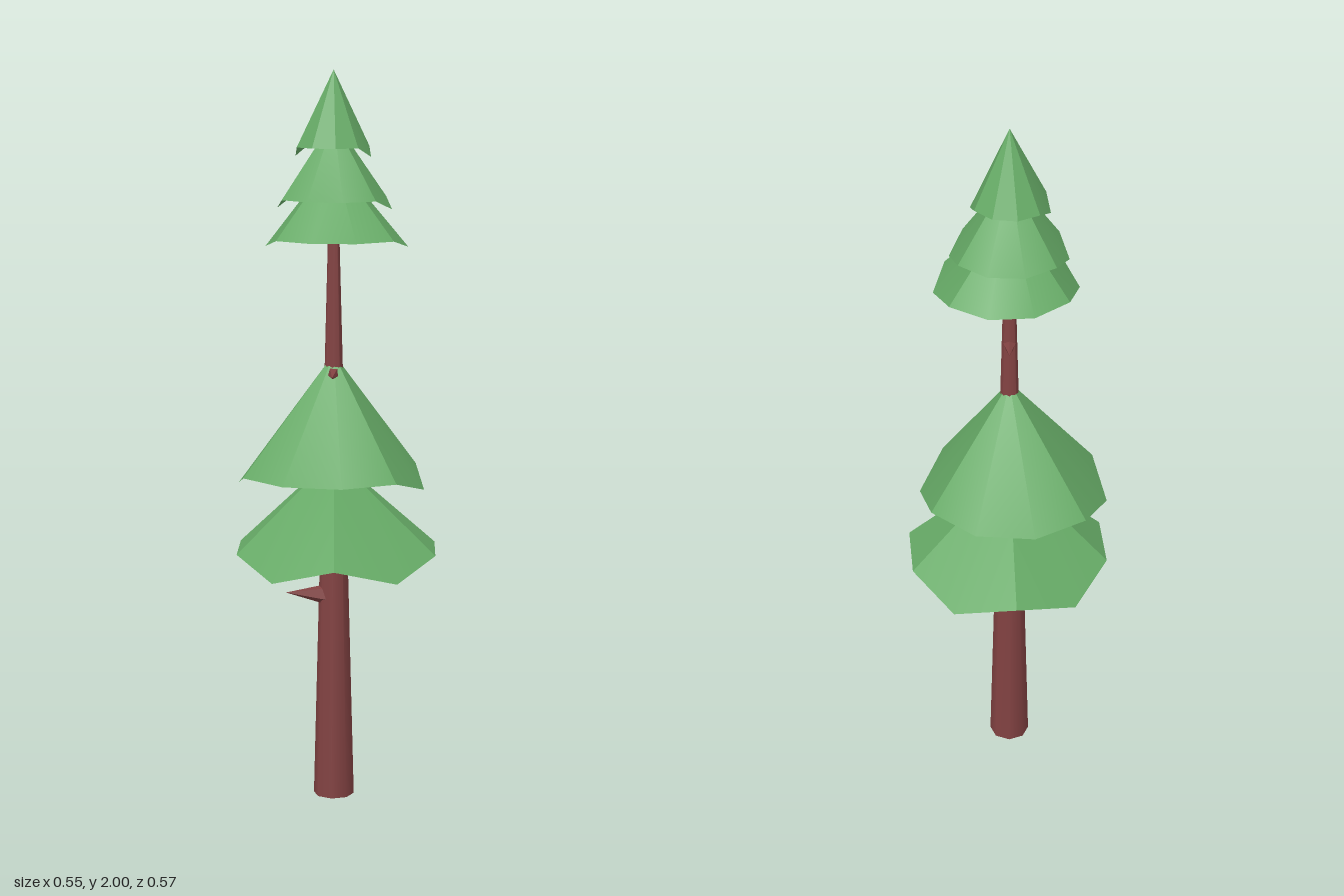
import * as THREE from 'three';
import { toCreasedNormals } from 'three/addons/utils/BufferGeometryUtils.js';

const needles = new THREE.MeshStandardMaterial({ color: 0x66aa66, side: THREE.DoubleSide });
needles.name = 'needle green';
const bark = new THREE.MeshStandardMaterial({ color: 0x824242 });
bark.name = 'bark brown';

const AXIS_X = -0.004, AXIS_Z = 0.008, RIM_SIDES = 10;

// Open ten-sided shell; the rim corners listed in "low" droop below the others
function foliage({ name, apex, rimY, droop, low, radius, turn, dx, dz }) {
  const rim = (i) => {
    const corner = i % RIM_SIDES;
    const angle = THREE.MathUtils.degToRad(turn) + (corner / RIM_SIDES) * Math.PI * 2;
    const y = low.includes(corner) ? rimY - droop : rimY;
    return [dx + radius * Math.sin(angle), y, dz + radius * Math.cos(angle)];
  };
  const corners = [];
  for (let i = 0; i < RIM_SIDES; i++) corners.push(AXIS_X, apex, AXIS_Z, ...rim(i), ...rim(i + 1));
  const geo = new THREE.BufferGeometry();
  geo.setAttribute('position', new THREE.Float32BufferAttribute(corners, 3));
  const mesh = new THREE.Mesh(toCreasedNormals(geo, Math.PI / 6), needles);
  mesh.name = name;
  return mesh;
}

// Pointed stub from the trunk axis out to a tip
function branch(y, r, tipX, tipY, tipZ) {
  const from = new THREE.Vector3(AXIS_X, y, AXIS_Z);
  const dir = new THREE.Vector3(tipX, tipY, tipZ).sub(from);
  const length = dir.length();
  const geo = new THREE.ConeGeometry(r, length, 5).translate(0, length / 2, 0);
  const mesh = new THREE.Mesh(toCreasedNormals(geo, Math.PI / 6), bark);
  mesh.quaternion.setFromUnitVectors(new THREE.Vector3(0, 1, 0), dir.normalize());
  mesh.position.copy(from);
  mesh.name = 'branchStub';
  return mesh;
}

export function createModel() {
  const tree = new THREE.Group();
  tree.name = 'pineTree';

  // Tapering trunk
  const trunkGeo = new THREE.CylinderGeometry(0.008, 0.056, 1.85, 8).translate(AXIS_X, 0.925, AXIS_Z);
  const trunk = new THREE.Mesh(toCreasedNormals(trunkGeo, Math.PI / 3.5), bark);
  trunk.name = 'trunk';
  tree.add(trunk);

  // Broken branch stubs, from the bottom up
  tree.add(
    branch(0.57, 0.034, -0.13, 0.585, 0.06),
    branch(0.69, 0.032, 0.09, 0.74, -0.06),
    branch(0.99, 0.027, -0.03, 1.03, -0.09),
    branch(1.19, 0.022, 0.003, 1.19, 0.11),
    branch(1.365, 0.02, -0.004, 1.375, -0.07),
    branch(1.62, 0.016, 0.055, 1.635, 0.035),
  );

  // Foliage tiers, from the bottom up
  tree.add(
    foliage({ name: 'lowestFoliage', apex: 0.96, rimY: 0.697, droop: 0.045, low: [1, 4, 6, 9],
      radius: 0.284, turn: 5, dx: 0.002, dz: -0.011 }),
    foliage({ name: 'lowerFoliage', apex: 1.24, rimY: 0.915, droop: 0.043, low: [2, 7],
      radius: 0.259, turn: 13, dx: -0.014, dz: -0.008 }),
    foliage({ name: 'middleFoliage', apex: 1.77, rimY: 1.556, droop: 0.025, low: [3, 8],
      radius: 0.192, turn: -14, dx: 0.004, dz: 0.006 }),
    foliage({ name: 'upperFoliage', apex: 1.87, rimY: 1.66, droop: 0.028, low: [3, 8],
      radius: 0.156, turn: -21, dx: -0.003, dz: 0 }),
    foliage({ name: 'topFoliage', apex: 2, rimY: 1.797, droop: 0.026, low: [3, 8],
      radius: 0.104, turn: -26, dx: -0.006, dz: 0.002 }),
  );
  return tree;
}
